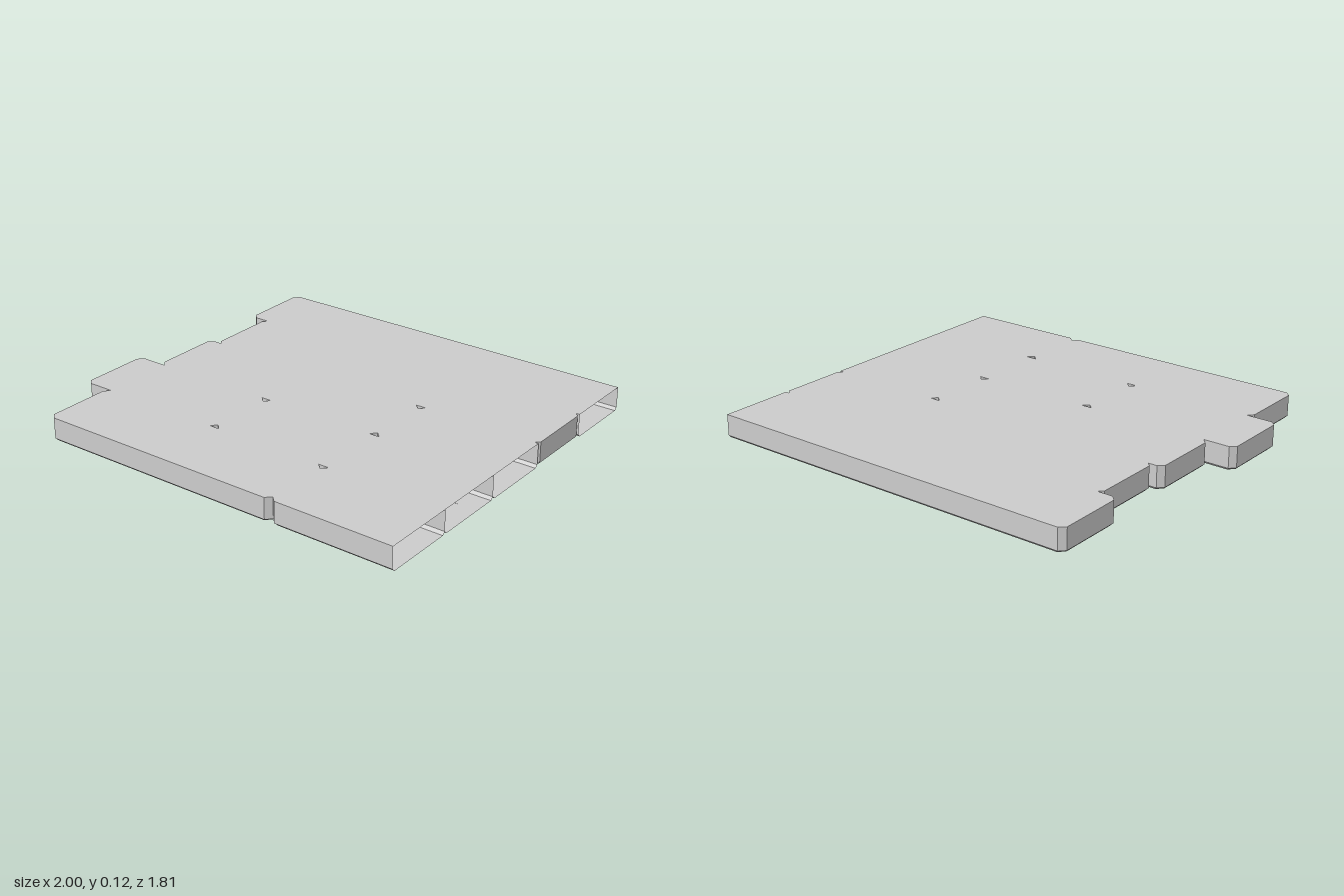
import * as THREE from 'three';

const TOP = 0.115, BEVEL = 0.013, GROOVE_DEPTH = 0.012;
const material = new THREE.MeshStandardMaterial({ color: 0xcccccc, side: THREE.DoubleSide });

// Plan of a plank: rectangle with clipped corners; a cut end stays square
function outline({ x0, x1, z0, z1, c = 0.026, open }, inset) {
  const l = x0 + inset, r = open ? x1 : x1 - inset, a = z0 + inset, b = z1 - inset;
  const right = open
    ? [[r, a], [r, b]]
    : [[r - c, a], [r, a + c], [r, b - c], [r - c, b]];
  return [[l, a + c], [l + c, a], ...right, [l + c, b], [l, b - c]];
}

const toShape = (pts, sign) => new THREE.Shape(pts.map(([x, z]) => new THREE.Vector2(x, sign * z)));

function surface(triangles) {
  const g = new THREE.BufferGeometry();
  g.setAttribute('position', new THREE.Float32BufferAttribute(triangles.flat(), 3));
  g.computeVertexNormals();
  return g;
}

// Upright sides and bottom bevel; the cut end is left open
function sideGeometry(plank) {
  const rim = outline(plank, 0), foot = outline(plank, BEVEL);
  const levels = [[foot, 0], [rim, BEVEL], [rim, TOP]];
  const tri = [];
  for (let k = 0; k < 2; k++) {
    const [lo, y0] = levels[k], [hi, y1] = levels[k + 1];
    for (let i = 0; i < lo.length; i++) {
      const j = (i + 1) % lo.length;
      if (plank.open && i === 2) continue;
      const at = ([x, z], y) => [x, y, z];
      const a = at(lo[i], y0), b = at(hi[i], y1), c = at(hi[j], y1), d = at(lo[j], y0);
      tri.push(a, b, c, a, c, d);
    }
  }
  return surface(tri);
}

// Thin diamond-shaped crack between two points
function crackCorners([xa, za, xb, zb]) {
  const xm = (xa + xb) / 2, zm = (za + zb) / 2, w = 0.009;
  return [[xa, za], [xm, zm - w], [xb, zb], [xm, zm + w]];
}

// Sloping inside of a crack, rising to one point
function crackGeometry(crack) {
  const pts = crackCorners(crack);
  const peak = [(crack[0] + crack[2]) / 2, GROOVE_DEPTH, (crack[1] + crack[3]) / 2];
  return surface(pts.flatMap(([x, z], i) => {
    const [u, v] = pts[(i + 1) % 4];
    return [[x, 0, z], [u, 0, v], peak];
  }));
}

function makePlank(plank) {
  const group = new THREE.Group();
  group.name = 'plank';
  const add = (name, geometry) => {
    const mesh = new THREE.Mesh(geometry, material);
    mesh.name = name;
    group.add(mesh);
    return mesh;
  };
  add('plankSides', sideGeometry(plank));
  add('plankTop', new THREE.ShapeGeometry(toShape(outline(plank, 0), -1)).rotateX(-Math.PI / 2))
    .position.y = TOP;
  const cracks = plank.cracks || [];
  const under = toShape(outline(plank, BEVEL), 1);
  under.holes = cracks.map((k) => toShape(crackCorners(k), 1));
  add('plankUnderside', new THREE.ShapeGeometry(under).rotateX(Math.PI / 2));
  cracks.forEach((k) => add('woodCrack', crackGeometry(k)));
  return group;
}

export function createModel() {
  const model = new THREE.Group();
  model.name = 'plankFloor';

  // Rows from back to front; cracks are [xStart, zStart, xEnd, zEnd]
  const rows = [
    [{ x0: -0.9, x1: 1, open: true, cracks: [[0.57, -0.63, -0.12, -0.65], [0.3, -0.7, -0.2, -0.69]] }],
    [{ x0: -0.82, x1: 1, c: 0.02,
      cracks: [[0.91, -0.28, 0.62, -0.3], [0.47, -0.3, -0.02, -0.25], [-0.48, -0.23, -0.78, -0.25]] }],
    [{ x0: -0.87, x1: 0.39, cracks: [[0.34, -0.08, -0.2, -0.07], [0.25, 0.02, -0.1, 0.0]] },
      { x0: 0.39, x1: 1, open: true }],
    [{ x0: -1, x1: -0.215 },
      { x0: -0.215, x1: 1, open: true, cracks: [[0.91, 0.3, 0.53, 0.35], [0.28, 0.43, -0.15, 0.45]] }],
    [{ x0: -0.87, x1: 0.39 }, { x0: 0.39, x1: 1, open: true }],
  ];
  const pitch = 0.362;
  rows.forEach((row, i) => {
    const z0 = -0.905 + i * pitch;
    row.forEach((p) => model.add(makePlank({ ...p, z0, z1: z0 + pitch })));
  });
  return model;
}
